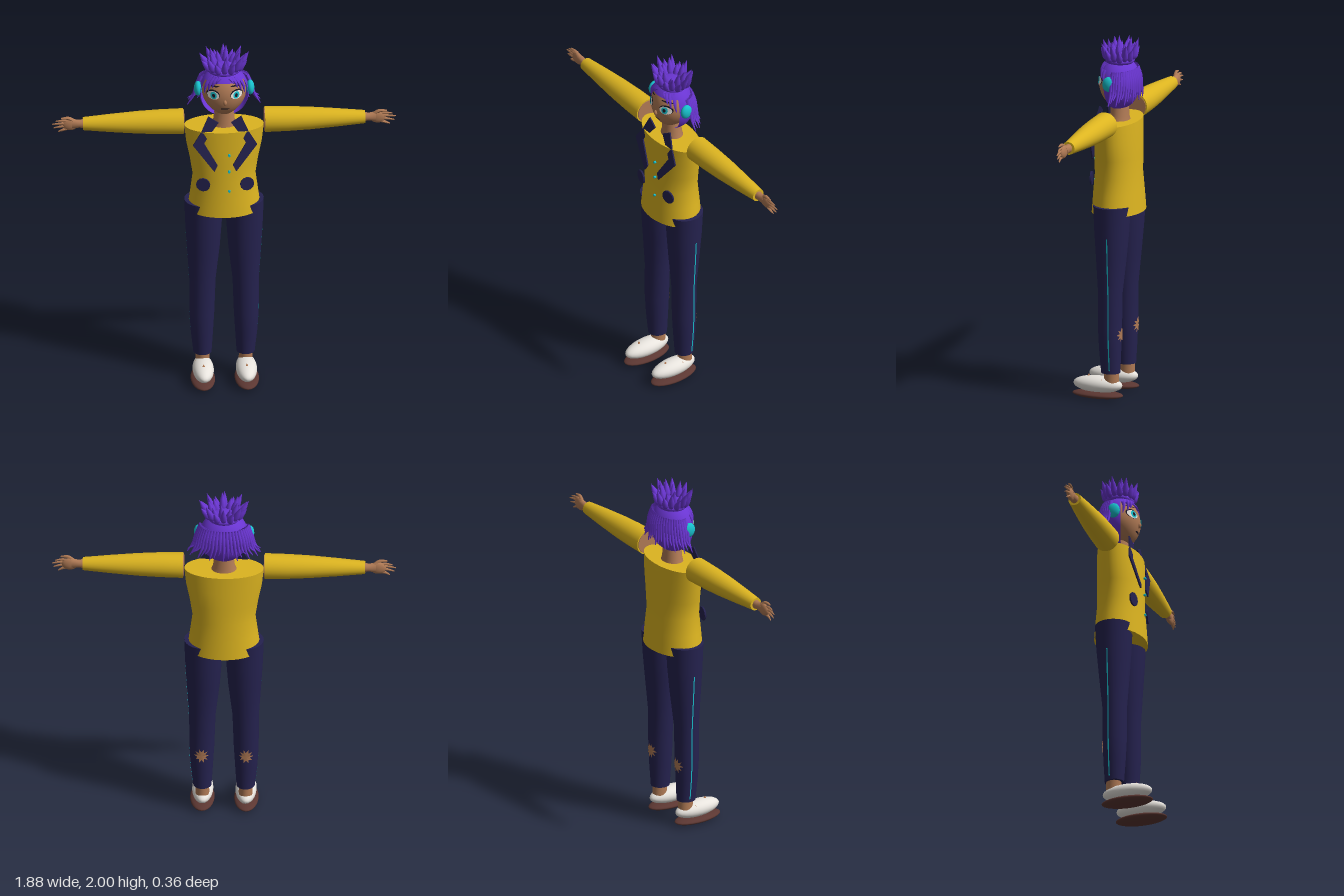
import * as THREE from 'three';

const mat = (name, color, side = THREE.FrontSide) => {
  const m = new THREE.MeshStandardMaterial({ color, side });
  m.name = name;
  return m;
};
const D = THREE.DoubleSide;
const skin = mat('skin', 0xb07a55, D), yellow = mat('jacket yellow', 0xdcb420, D), navy = mat('navy', 0x25224f, D);
const purple = mat('hair purple', 0x6a35d2, D), white = mat('white', 0xece8e2), brown = mat('sole brown', 0x5c3732);
const teal = mat('teal', 0x18c0cc, D), dark = mat('dark', 0x1c1622);

const V = (x, y, z) => new THREE.Vector3(x, y, z);

function add(group, name, geo, material, x = 0, y = 0, z = 0) {
  const m = new THREE.Mesh(geo, material);
  m.name = name;
  m.position.set(x, y, z);
  group.add(m);
  return m;
}

// Move every vertex by a rule
function warp(geo, rule) {
  const p = geo.attributes.position, v = V(0, 0, 0);
  for (let i = 0; i < p.count; i++) {
    rule(v.fromBufferAttribute(p, i), i);
    p.setXYZ(i, v.x, v.y, v.z);
  }
  geo.computeVertexNormals();
  return geo;
}

// Closed body through elliptical rings [y, rx, rz, cx, cz], with flat caps
function loft(rings, n = 24) {
  const pos = [], idx = [];
  const ring = ([y, rx, rz, cx = 0, cz = 0]) => {
    for (let j = 0; j < n; j++) {
      const a = j / n * Math.PI * 2;
      pos.push(cx + rx * Math.cos(a), y, cz + rz * Math.sin(a));
    }
  };
  rings.forEach(ring);
  for (let i = 0; i < rings.length - 1; i++) for (let j = 0; j < n; j++) {
    const a = i * n + j, b = i * n + (j + 1) % n;
    idx.push(a, a + n, b, b, a + n, b + n);
  }
  [rings[0], rings[rings.length - 1]].forEach((r, top) => {
    const s = pos.length / 3;
    ring(r);
    pos.push(r[3] || 0, r[0], r[4] || 0);
    for (let j = 0; j < n; j++) {
      const k = s + (j + 1) % n;
      top ? idx.push(s + n, k, s + j) : idx.push(s + n, s + j, k);
    }
  });
  const g = new THREE.BufferGeometry();
  g.setAttribute('position', new THREE.Float32BufferAttribute(pos, 3));
  g.setIndex(idx);
  g.computeVertexNormals();
  return g;
}

// Tube along points that tapers from r0 to r1
function strand(points, r0, r1, steps = 8, sides = 6) {
  const curve = new THREE.CatmullRomCurve3(points);
  return warp(new THREE.TubeGeometry(curve, steps, r0, sides), (v, i) => {
    const t = Math.floor(i / (sides + 1)) / steps, c = curve.getPointAt(t);
    v.sub(c).multiplyScalar(1 + (r1 / r0 - 1) * t * t).add(c);
  });
}

const ball = (rx, ry, rz) => new THREE.SphereGeometry(1, 24, 16).scale(rx, ry, rz);

// Head shape, narrowing to the chin
const HEAD = { y: 1.755, z: -0.04, rx: 0.12, ry: 0.137, rz: 0.106 };
const jaw = y => (y < 0 ? 1 - 0.3 * y * y : 1);
function faceZ(X, Y) {
  const y = (Y - HEAD.y) / HEAD.ry, x = X / (HEAD.rx * jaw(y));
  return HEAD.z + HEAD.rz * Math.sqrt(Math.max(0, 1 - x * x - y * y));
}

function buildHead(root) {
  const head = new THREE.Group();
  head.name = 'head';
  root.add(head);
  add(head, 'neck', loft([[1.53, 0.078, 0.06, 0, -0.045], [1.57, 0.06, 0.052, 0, -0.045], [1.67, 0.048, 0.048, 0, -0.045]]), skin);
  add(head, 'face', warp(new THREE.SphereGeometry(1, 32, 24), v => {
    v.set(v.x * jaw(v.y) * HEAD.rx, HEAD.y + v.y * HEAD.ry, HEAD.z + v.z * HEAD.rz);
  }), skin);

  // Painted face details follow the head surface
  const paint = (name, m, x, y, rx, ry, lift, tilt = 0) =>
    add(head, name, warp(new THREE.CircleGeometry(1, 20).scale(rx, ry, 1).rotateZ(tilt).translate(x, y, 0),
      v => { v.z = faceZ(v.x, v.y) + lift; }), m);
  for (const s of [-1, 1]) {
    paint('eyeliner', dark, s * 0.064, 1.777, 0.035, 0.028, 0.002);
    paint('eyeWhite', white, s * 0.064, 1.774, 0.032, 0.024, 0.004);
    paint('iris', teal, s * 0.062, 1.775, 0.017, 0.021, 0.006);
    paint('pupil', dark, s * 0.062, 1.775, 0.008, 0.011, 0.008);
    paint('eyebrow', dark, s * 0.062, 1.823, 0.033, 0.004, 0.003, -s * 0.1);
    add(head, 'headphone', ball(0.022, 0.042, 0.036), teal, s * 0.143, 1.775, -0.035);
  }
  paint('mouth', dark, 0, 1.69, 0.024, 0.005, 0.002);
  add(head, 'nose', ball(0.01, 0.016, 0.012), skin, 0, 1.732, faceZ(0, 1.732));

  // Hair shell: a top cap and a back half leaving the face open
  const shell = (name, ...range) => add(head, name,
    new THREE.SphereGeometry(1, 32, 20, ...range).scale(0.137, 0.147, 0.116), purple, 0, HEAD.y, HEAD.z);
  shell('hairTop', 0, Math.PI * 2, 0, 0.93);
  shell('hairBack', Math.PI - 0.35, Math.PI + 0.7, 0.8, 1.95);
  for (const s of [-1, 1]) {
    for (let k = 0; k < 4; k++) {
      const x = 0.035 + k * 0.02, end = 1.835 - k * 0.022;
      add(head, 'fringe', strand([V(s * x * 0.7, 1.865, faceZ(x * 0.7, 1.865) + 0.008),
        V(s * (x + 0.006), (1.865 + end) / 2, faceZ(x, (1.865 + end) / 2) + 0.008),
        V(s * (x + 0.014), end, faceZ(x + 0.014, end) + 0.004)], 0.012, 0.002), purple);
    }
  }
  // Layered strands flaring out around the back
  const n = 25;
  for (let k = 0; k < n; k++) {
    const a = k / (n - 1) * Math.PI, c = Math.cos(a), s = Math.sin(a);
    const at = (rx, y, rz) => V(c * rx, y, -0.055 - s * rz);
    const drop = 0.018 * (k % 3);
    add(head, 'hairStrand', strand([at(0.125, 1.84, 0.075), at(0.15, 1.78, 0.095),
      at(0.168, 1.72, 0.1), at(0.2, 1.665 + drop, 0.102)], 0.013, 0.002), purple);
  }
  // Spiky crown on top
  add(head, 'crownBase', ball(0.09, 0.032, 0.08), purple, 0, 1.885, -0.047);
  const spike = new THREE.LatheGeometry([[0, 0], [0.015, 0.02], [0.019, 0.045], [0.012, 0.085], [0, 0.125]]
    .map(p => new THREE.Vector2(...p)), 8);
  for (const [count, base, tip, top, turn] of [[16, 0.075, 0.136, 1.985, 0], [11, 0.055, 0.09, 1.995, 0.3]]) {
    for (let k = 0; k < count; k++) {
      const a = turn + k / count * Math.PI * 2, c = Math.cos(a), s = Math.sin(a);
      const from = V(c * base, 1.88, -0.047 + s * base * 0.85);
      const dir = V(c * tip, top + (k % 2 ? -0.025 : 0.005), -0.047 + s * tip * 0.74).sub(from);
      const m = add(head, 'crownSpike', spike, purple, from.x, from.y, from.z);
      m.scale.set(1, dir.length() / 0.125, 1);
      m.quaternion.setFromUnitVectors(V(0, 1, 0), dir.normalize());
    }
  }
}

function buildJacket(root) {
  add(root, 'jacket', loft([[1.04, 0.2, 0.14], [1.15, 0.185, 0.133], [1.25, 0.172, 0.125], [1.35, 0.187, 0.123],
    [1.45, 0.207, 0.12], [1.55, 0.217, 0.115]].map(r => [...r, 0, -0.04]), 32), yellow);
  const panels = {
    collar: [[0.09, 1.635], [0.035, 1.6], [0.085, 1.53], [0.128, 1.55]],
    lapel: [[0.13, 1.547], [0.088, 1.53], [0.115, 1.485], [0.042, 1.36], [0.06, 1.325], [0.175, 1.475]],
  };
  for (const s of [-1, 1]) {
    // Collar and lapel lean forward towards the chest
    for (const [name, pts] of Object.entries(panels)) {
      const shape = new THREE.Shape(pts.map(([x, y]) => new THREE.Vector2(s * x, y)));
      const geo = new THREE.ExtrudeGeometry(shape, { depth: 0.008, bevelEnabled: false });
      add(root, name, warp(geo, v => { v.z += 0.032 + (1.635 - v.y) * 0.185; }), navy);
    }
    const pocket = add(root, 'pocket', new THREE.CylinderGeometry(0.039, 0.039, 0.009, 12).rotateX(Math.PI / 2), navy,
      s * 0.12, 1.235, 0.073);
    pocket.rotation.y = s * 0.2;
  }
  for (const y of [1.42, 1.32, 1.2])
    add(root, 'button', new THREE.CylinderGeometry(0.007, 0.007, 0.012, 10).rotateX(Math.PI / 2), teal, 0.022, y, 0.09);
}

function buildArm(root, s) {
  const arm = new THREE.Group();
  arm.name = s > 0 ? 'leftArm' : 'rightArm';
  arm.position.set(0, 1.568, -0.046);
  root.add(arm);
  const along = rings => loft(rings).rotateZ(-s * Math.PI / 2);
  add(arm, 'sleeve', along([[0.222, 0.071, 0.071], [0.35, 0.068, 0.068], [0.47, 0.062, 0.062], [0.62, 0.05, 0.05], [0.77, 0.036, 0.036]]), yellow);
  add(arm, 'upperArm', along([[0.218, 0.064, 0.064], [0.25, 0.064, 0.064]]), skin);
  add(arm, 'wrist', along([[0.76, 0.027, 0.024], [0.79, 0.022, 0.02], [0.83, 0.03, 0.018]]), skin);
  add(arm, 'palm', ball(0.045, 0.036, 0.017), skin, s * 0.84, -0.002, 0);
  [[0.92, 0.018], [0.938, 0], [0.93, -0.022], [0.905, -0.045]].forEach(([x, y], k) => {
    const y0 = 0.02 - k * 0.015;
    add(arm, 'finger', strand([V(s * 0.85, y0, 0), V(s * (x + 0.85) / 2, (y + y0) / 2 + 0.003, 0.004), V(s * x, y, 0)], 0.009, 0.003), skin);
  });
  add(arm, 'thumb', strand([V(s * 0.82, 0.018, 0), V(s * 0.85, 0.038, 0.006), V(s * 0.89, 0.038, 0.008)], 0.011, 0.004), skin);
}

function buildLeg(root, s) {
  const leg = new THREE.Group();
  leg.name = s > 0 ? 'leftLeg' : 'rightLeg';
  root.add(leg);
  // [y, rx, rz, cx, cz]
  const rings = [[0.15, 0.05, 0.053, 0.118, -0.038], [0.28, 0.061, 0.061, 0.121, -0.036], [0.4, 0.068, 0.066, 0.121, -0.035],
    [0.6, 0.072, 0.067, 0.118, -0.036], [0.8, 0.09, 0.084, 0.113, -0.04], [0.95, 0.1, 0.096, 0.112, -0.042],
    [1.09, 0.104, 0.103, 0.113, -0.043]].map(([y, rx, rz, cx, cz]) => [y, rx, rz, s * cx, cz]);
  const at = y => {
    const i = Math.max(1, rings.findIndex(r => r[0] >= y)), a = rings[i - 1], b = rings[i];
    const t = (y - a[0]) / (b[0] - a[0]);
    return a.map((v, k) => v + (b[k] - v) * t);
  };
  add(leg, 'trouser', loft(rings), navy);
  // Side stripe
  add(leg, 'stripe', warp(new THREE.PlaneGeometry(0.007, 0.75, 1, 30).rotateY(s * Math.PI / 2).translate(0, 0.545, -0.05), v => {
    const [, rx, , cx] = at(v.y);
    v.x = cx + s * (rx + 0.001);
  }), teal);
  // Ragged tear at the back of the calf
  add(leg, 'tear', warp(new THREE.CircleGeometry(1, 20).rotateY(Math.PI), (v, i) => {
    const k = i && (i % 2 ? 1 : 0.55);
    const x = v.x * 0.042 * k, y = 0.37 + v.y * 0.045 * k;
    const [, rx, rz, cx, cz] = at(y);
    v.set(cx + x, y, cz - rz * Math.sqrt(1 - (x / rx) ** 2) - 0.004);
  }), skin);
  // Ankle and shoe
  add(leg, 'ankle', loft([[0.09, 0.038, 0.042, s * 0.118, -0.042], [0.16, 0.037, 0.042, s * 0.118, -0.042]]), skin);
  add(leg, 'shoe', ball(0.058, 0.047, 0.142), white, s * 0.118, 0.078, 0.037);
  add(leg, 'sole', ball(0.067, 0.022, 0.147), brown, s * 0.12, 0.022, 0.037);
  for (const [x, y, z] of [[0.118, 0.122, 0.09], [0.155, 0.104, 0], [0.085, 0.106, 0.03]])
    add(leg, 'shoePatch', new THREE.ConeGeometry(0.014, 0.022, 5), skin, s * x, y, z);
}

export function createModel() {
  const root = new THREE.Group();
  root.name = 'figure';
  buildHead(root);
  buildJacket(root);
  for (const s of [-1, 1]) {
    buildArm(root, s);
    buildLeg(root, s);
  }
  return root;
}
